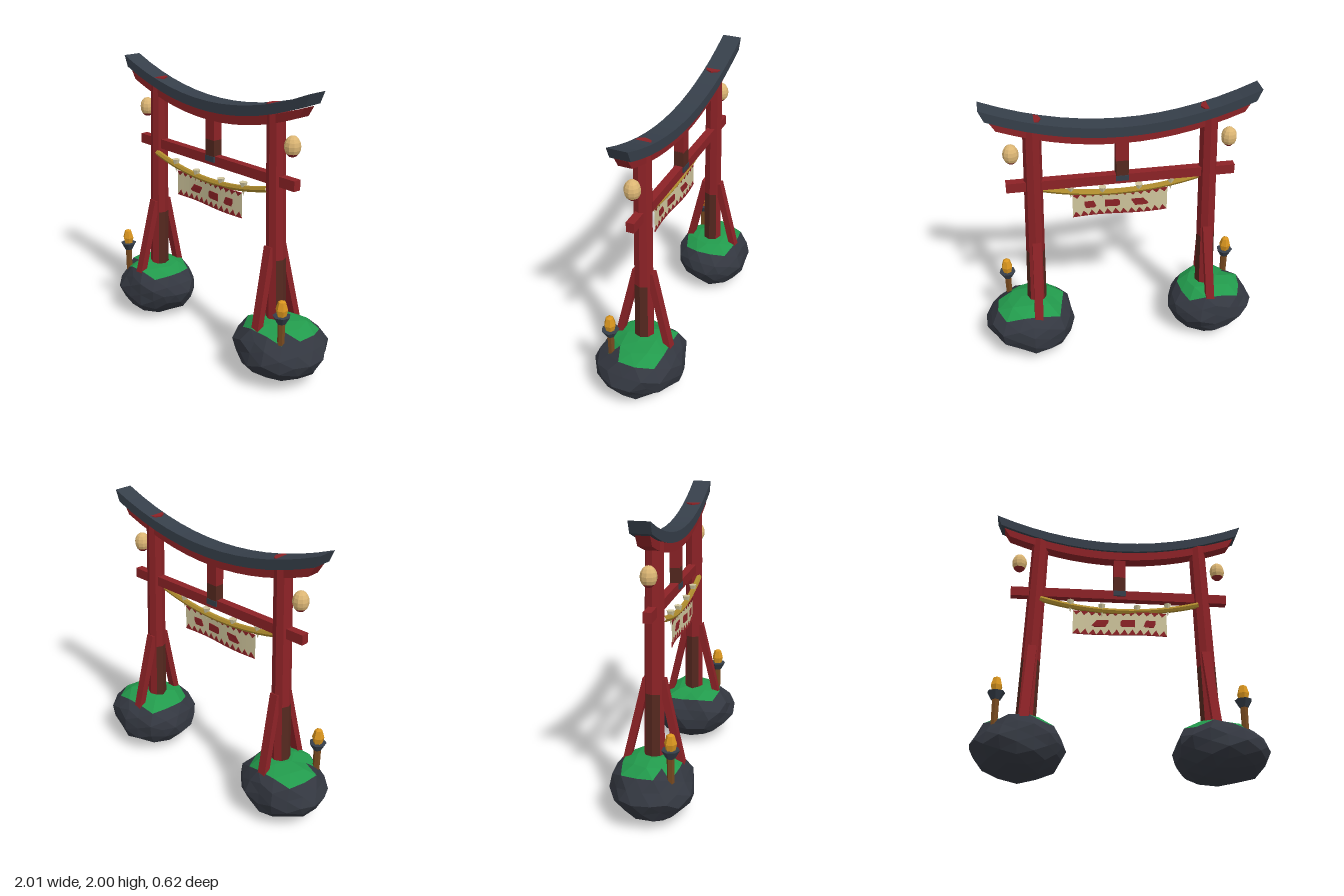
import * as THREE from 'three';

const mat = (name, color, side = THREE.FrontSide) => {
  const m = new THREE.MeshStandardMaterial({ color, side });
  m.name = name;
  return m;
};

export function createModel() {
  const red = mat('red paint', 0x8c2226);
  const brown = mat('worn red brown', 0x55281f);
  const slate = mat('roof slate', 0x363f4a);
  const stone = mat('dark stone', 0x333740);
  const moss = mat('moss green', 0x229a4c);
  const gold = mat('rope gold', 0xb08d2e);
  const cream = mat('banner cream', 0xcfc59c, THREE.DoubleSide);
  const paper = mat('lantern paper', 0xdcb674);
  const wood = mat('torch wood', 0x77491f);
  const flame = mat('flame orange', 0xd9951f);

  const model = new THREE.Group();
  model.name = 'gate';
  const frame = new THREE.Group();
  frame.name = 'gateFrame';
  frame.position.x = -0.012;
  model.add(frame);

  // Adds a faceted mesh
  const add = (parent, name, geo, material, x = 0, y = 0, z = 0) => {
    const g = geo.index ? geo.toNonIndexed() : geo;
    g.computeVertexNormals();
    const mesh = new THREE.Mesh(g, material);
    mesh.name = name;
    mesh.position.set(x, y, z);
    parent.add(mesh);
    return mesh;
  };
  const box = (parent, name, m, w, h, d, x, y, z) =>
    add(parent, name, new THREE.BoxGeometry(w, h, d), m, x, y, z);

  // Upward-curving beam between two parabolas: [half width, middle y, end y]
  const curvedBeam = (name, top, bottom, depth, m, z) => {
    const pts = [];
    const n = 14;
    const curve = ([w, mid, end], dir) => {
      for (let i = 0; i <= n; i++) {
        const t = dir * (2 * i / n - 1);
        pts.push(new THREE.Vector2(t * w, mid + (end - mid) * t * t));
      }
    };
    curve(bottom, 1);
    curve(top, -1);
    const geo = new THREE.ExtrudeGeometry(new THREE.Shape(pts), { depth, bevelEnabled: false });
    add(frame, name, geo, m, 0, 0, z - depth / 2);
  };
  curvedBeam('roofBeam', [0.912, 1.808, 2.0], [0.878, 1.738, 1.92], 0.135, slate, -0.005);
  curvedBeam('upperBeam', [0.856, 1.74, 1.905], [0.813, 1.675, 1.835], 0.09, red, 0);

  // Lower tie beam and centre post
  box(frame, 'lowerBeam', red, 1.566, 0.07, 0.056, 0, 1.39, 0);
  box(frame, 'centrePost', red, 0.085, 0.18, 0.07, 0, 1.62, 0);
  box(frame, 'centrePostFoot', brown, 0.085, 0.12, 0.07, 0, 1.475, 0);
  box(frame, 'postBracket', slate, 0.09, 0.04, 0.076, 0, 1.4, 0);

  for (const s of [-1, 1]) {
    // Leaning octagonal leg, worn on the lower flanks
    const leg = new THREE.Group();
    leg.name = 'leg';
    leg.position.set(s * 0.633, 0.35, 0);
    leg.rotation.z = s * Math.atan(0.05 / 1.535);
    frame.add(leg);
    add(leg, 'legUpper', new THREE.CylinderGeometry(0.06, 0.066, 1.035, 8), red, 0, 1.0175, 0);
    for (let q = 0; q < 4; q++) {
      const part = new THREE.CylinderGeometry(0.066, 0.07, 0.5, 2, 1, true,
        Math.PI / 4 + q * Math.PI / 2, Math.PI / 2);
      add(leg, 'legLower', part, q % 2 ? red : brown, 0, 0.25, 0);
    }

    // Sloping braces in front of and behind the leg
    for (const f of [-1, 1]) {
      const a = new THREE.Vector3(s * 0.635, 0.35, f * 0.188);
      const b = new THREE.Vector3(s * 0.607, 0.94, f * 0.05);
      const dir = b.clone().sub(a);
      const mid = a.clone().add(b).multiplyScalar(0.5);
      const brace = box(frame, 'brace', red, 0.06, dir.length(), 0.048, mid.x, mid.y, mid.z);
      brace.quaternion.setFromUnitVectors(new THREE.Vector3(0, 1, 0), dir.normalize());
    }

    // Oval paper lantern with a red base
    const lantern = new THREE.Group();
    lantern.name = 'lantern';
    lantern.position.set(s * 0.7325, 1.635, 0);
    lantern.scale.set(0.054, 0.07, 0.054);
    frame.add(lantern);
    const split = Math.PI * 0.72;
    add(lantern, 'lanternShade',
      new THREE.SphereGeometry(1, 10, 6, 0, Math.PI * 2, 0, split), paper);
    add(lantern, 'lanternBase',
      new THREE.SphereGeometry(1, 10, 2, 0, Math.PI * 2, split, Math.PI - split), red);

    // Torch standing on the rock
    const torch = new THREE.Group();
    torch.name = 'torch';
    torch.position.set(s * 0.828 - 0.01, 0, 0.155);
    model.add(torch);
    add(torch, 'torchPost', new THREE.CylinderGeometry(0.026, 0.024, 0.2, 6), wood, 0, 0.42, 0);
    add(torch, 'torchCup', new THREE.CylinderGeometry(0.06, 0.03, 0.055, 7), slate, 0, 0.528, 0);
    const fire = [[0, 0.55], [0.03, 0.55], [0.042, 0.6], [0.026, 0.655], [0, 0.667]]
      .map(p => new THREE.Vector2(...p));
    add(torch, 'torchFlame', new THREE.LatheGeometry(fire, 6), flame);
  }

  // Hanging rope with paper cones
  const ropeY = x => 1.245 + 0.08 * (x / 0.57) ** 2;
  const ropePts = [];
  for (let i = -5; i <= 5; i++) {
    ropePts.push(new THREE.Vector3(i * 0.114, ropeY(i * 0.114), 0.045));
  }
  add(frame, 'rope',
    new THREE.TubeGeometry(new THREE.CatmullRomCurve3(ropePts), 16, 0.021, 6), gold);
  for (const x of [-0.353, -0.128, 0.127, 0.347]) {
    const cone = new THREE.ConeGeometry(0.028, 0.095, 6).rotateX(Math.PI);
    add(frame, 'paperCone', cone, cream, x, ropeY(x) - 0.003, 0.045);
  }

  // Gently waving banner with red teeth and three patches
  const banner = new THREE.Group();
  banner.name = 'banner';
  banner.position.set(-0.01, 1.15, 0.047);
  model.add(banner);
  const W = 0.67, H = 0.18, teeth = 12, step = W / teeth;
  const wave = geo => {
    const p = geo.attributes.position;
    for (let i = 0; i < p.count; i++) {
      p.setZ(i, p.getZ(i) + 0.01 * Math.sin(p.getX(i) / W * Math.PI * 2));
    }
    return geo;
  };
  add(banner, 'bannerCloth', wave(new THREE.PlaneGeometry(W, H, teeth * 2, 1)), cream);
  const patch = (name, pts) => {
    const shape = new THREE.Shape(pts.map(p => new THREE.Vector2(...p)));
    const geo = new THREE.ExtrudeGeometry(shape, { depth: 0.007, bevelEnabled: false });
    add(banner, name, wave(geo.translate(0, 0, -0.0035)), red);
  };
  for (let i = 0; i < teeth; i++) {
    const x = -W / 2 + i * step;
    patch('lowerTooth', [[x, -H / 2], [x + step, -H / 2], [x + step * 0.6, -H / 2 + 0.042]]);
    patch('upperTooth', [[x + step, H / 2], [x, H / 2], [x + step * 0.4, H / 2 - 0.03]]);
  }
  for (const [x, w, slant] of [[-0.14, 0.06, 0.025], [0.055, 0.052, 0], [0.21, 0.042, 0.012]]) {
    patch('bannerPatch', [[x - w, -0.018], [x - w * 0.7, -0.028], [x + w - slant, -0.028],
      [x + w, -0.012 + slant], [x + w, 0.026], [x - w * 0.8 + slant, 0.026], [x - w + slant, 0.012]]);
  }

  // Faceted rocks whose upper faces are moss
  const hash = (x, y, z, seed) => {
    const v = Math.sin(Math.round(x * 500) * 12.9898 + Math.round(y * 500) * 78.233
      + Math.round(z * 500) * 37.719 + seed) * 43758.5453;
    return v - Math.floor(v);
  };
  const rock = (cx, rx, rz, seed) => {
    const p = new THREE.IcosahedronGeometry(1, 2).attributes.position;
    const faces = { stone: [], moss: [] };
    for (let i = 0; i < p.count; i += 3) {
      const tri = [];
      let height = 0;
      for (let k = i; k < i + 3; k++) {
        const [x, y, z] = [p.getX(k), p.getY(k), p.getZ(k)];
        const r = 0.93 + 0.13 * hash(x, y, z, seed);
        const py = Math.min(0.225 + y * r * 0.218, 0.425 + 0.02 * hash(z, x, y, seed));
        tri.push(cx + x * r * rx, py, z * r * rz);
        height += py / 3;
      }
      faces[height > 0.375 ? 'moss' : 'stone'].push(...tri);
    }
    const group = new THREE.Group();
    group.name = 'rock';
    model.add(group);
    for (const [name, m] of [['stone', stone], ['moss', moss]]) {
      const geo = new THREE.BufferGeometry();
      geo.setAttribute('position', new THREE.Float32BufferAttribute(faces[name], 3));
      add(group, name, geo, m);
    }
  };
  rock(-0.68, 0.315, 0.285, 1);
  rock(0.667, 0.325, 0.31, 5);

  return model;
}
